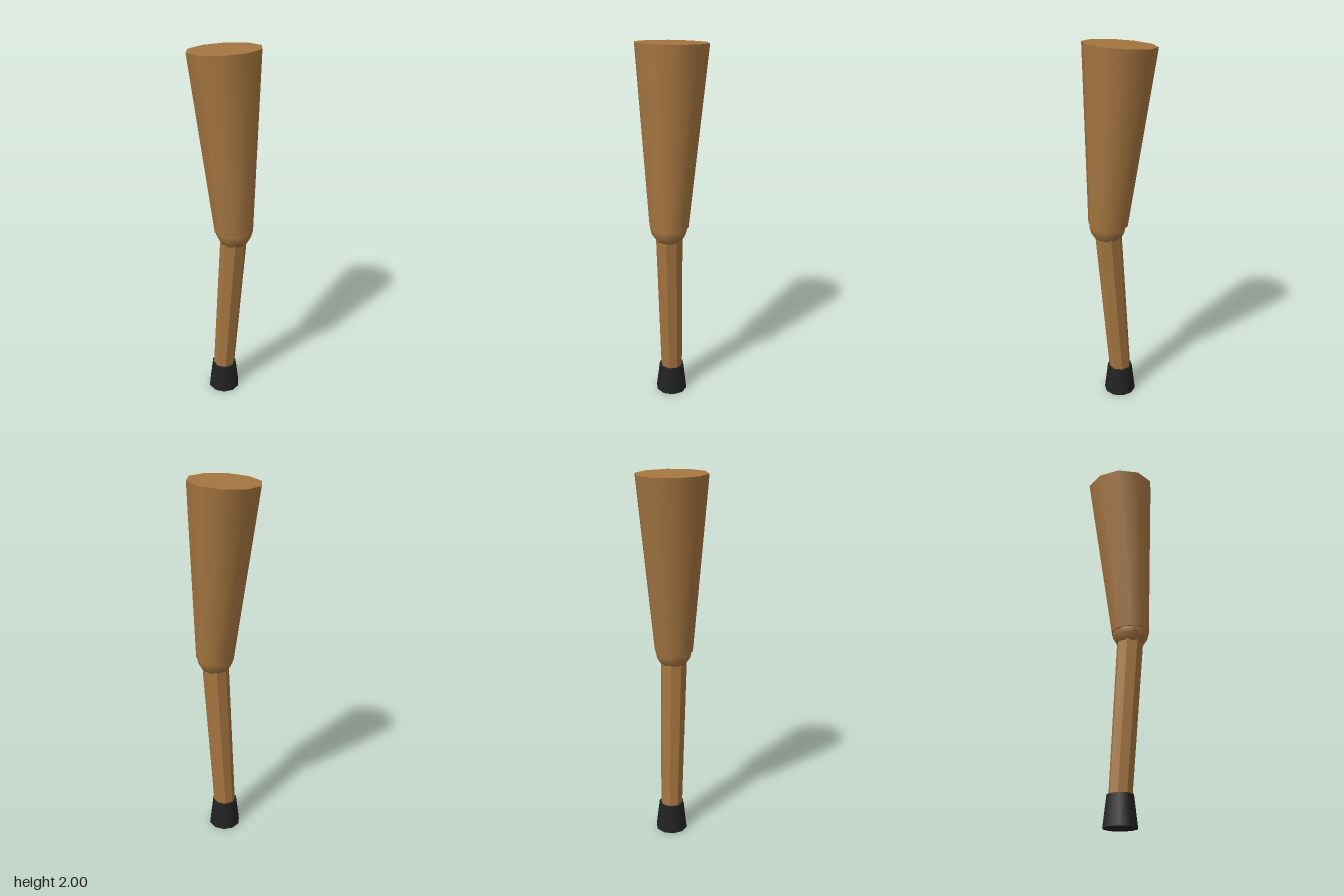
import * as THREE from 'three';

export function createModel() {
  const group = new THREE.Group();
  group.name = 'pegLeg';

  const wood = new THREE.MeshStandardMaterial({ color: 0xa57540 });
  wood.name = 'wood';
  const rubber = new THREE.MeshStandardMaterial({ color: 0x222222 });
  rubber.name = 'black rubber';

  const up = new THREE.Vector3(0, 1, 0);

  // Tapered post running from a bottom point to a top point
  function post(name, bottom, top, rBottom, rTop, sides, material, flat = false) {
    const a = new THREE.Vector3(...bottom);
    const b = new THREE.Vector3(...top);
    const axis = b.clone().sub(a);
    let geometry = new THREE.CylinderGeometry(rTop, rBottom, axis.length(), sides);
    if (flat) {
      geometry = geometry.toNonIndexed();
      geometry.computeVertexNormals();
    }
    const mesh = new THREE.Mesh(geometry, material);
    mesh.name = name;
    mesh.position.copy(a).add(b).multiplyScalar(0.5);
    mesh.quaternion.setFromUnitVectors(up, axis.normalize());
    group.add(mesh);
    return mesh;
  }

  // Thigh leans outward, shin leans back under it
  post('thigh', [0.065, 1.053, 0], [0, 1.988, 0], 0.106, 0.189, 10, wood);
  post('shin', [-0.004, 0.1, 0], [0.067, 1.05, 0], 0.06, 0.073, 8, wood, true);

  // Rounded knee joint
  const knee = new THREE.Mesh(new THREE.SphereGeometry(0.1, 10, 8), wood);
  knee.name = 'knee';
  knee.position.set(0.066, 1.05, 0);
  knee.rotation.z = -0.075;
  group.add(knee);

  // Rubber tip on the ground
  post('footTip', [0, 0, 0], [0, 0.16, 0], 0.089, 0.07, 10, rubber);

  return group;
}
